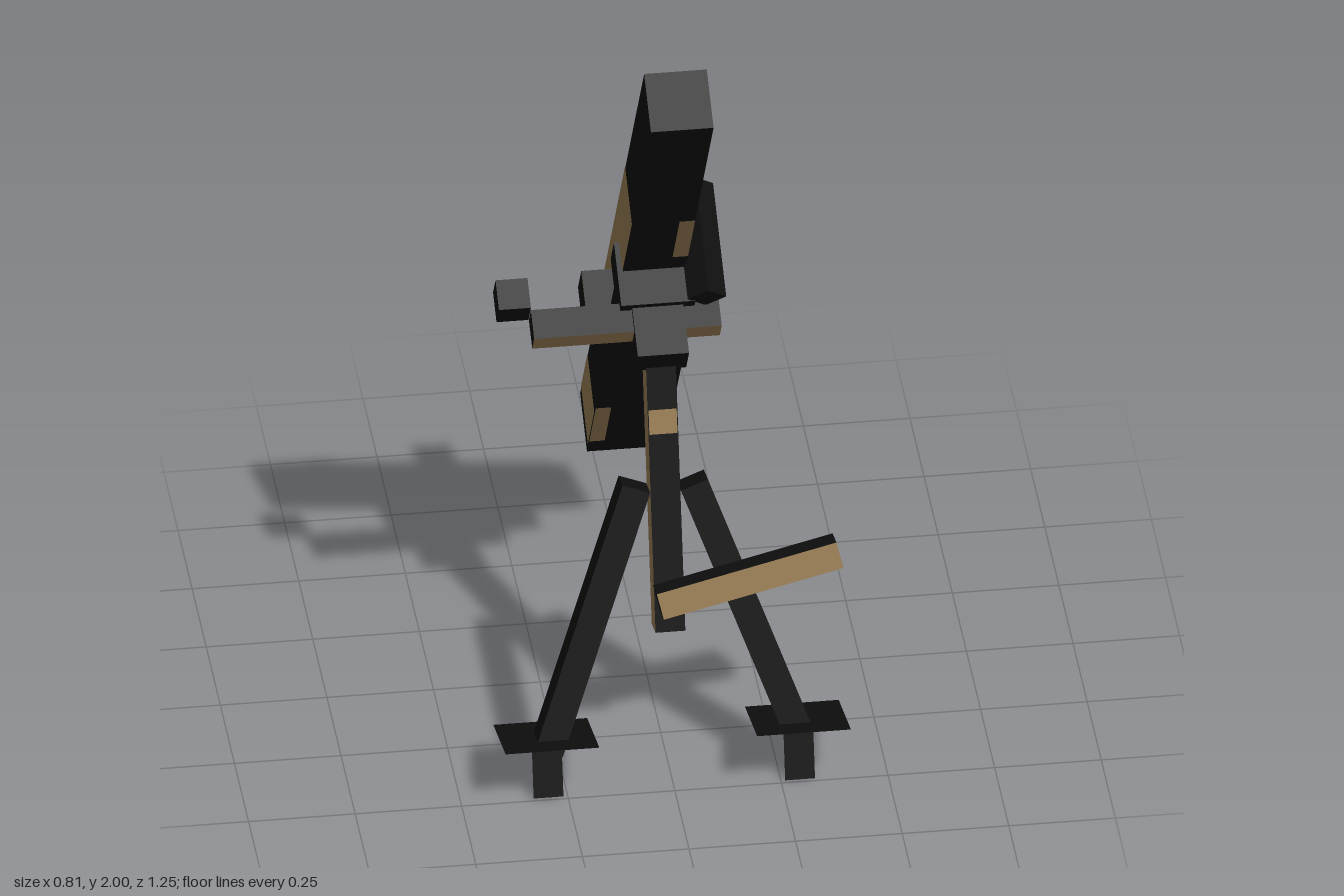
import * as THREE from 'three';

export function createModel() {
  const model = new THREE.Group();
  model.name = 'mortar';

  const black = new THREE.MeshStandardMaterial({ color: 0x0f0f0f });
  black.name = 'black';
  const tan = new THREE.MeshStandardMaterial({ color: 0x957b51 });
  tan.name = 'tan';
  // Thin sheet metal is seen from both sides
  const sheet = new THREE.MeshStandardMaterial({ color: 0x0f0f0f, side: THREE.DoubleSide });
  sheet.name = 'black sheet';

  // Box from size and centre; tanFaces lists painted sides (+x -x +y -y +z -z = 0..5)
  function box(parent, name, size, pos, tanFaces = []) {
    const mats = tanFaces.length
      ? [0, 1, 2, 3, 4, 5].map((i) => (tanFaces.includes(i) ? tan : black))
      : black;
    const mesh = new THREE.Mesh(new THREE.BoxGeometry(...size), mats);
    mesh.name = name;
    mesh.position.set(...pos);
    parent.add(mesh);
    return mesh;
  }

  // ---- Barrel assembly: origin at the muzzle, barrel running down local -y ----
  const barrel = new THREE.Group();
  barrel.name = 'barrelAssembly';
  barrel.position.set(0, 1.96, 0.57);
  barrel.rotation.x = THREE.MathUtils.degToRad(35);
  model.add(barrel);

  const W = 0.147;
  const H = W / 2;
  const L = 1.975;
  box(barrel, 'tube', [W, L, W], [0, -L / 2, 0]);

  // Painted camouflage patches; s runs down from the muzzle, w across the face
  const turns = { left: Math.PI / 2, right: -Math.PI / 2, under: 0, top: Math.PI };
  function patch(face, s0, s1, w0 = -H, w1 = H) {
    const holder = new THREE.Group();
    holder.name = face + 'Camouflage';
    holder.rotation.y = turns[face];
    const mesh = new THREE.Mesh(new THREE.PlaneGeometry(w1 - w0, s1 - s0), tan);
    mesh.name = 'camouflagePatch';
    mesh.position.set((w0 + w1) / 2, -(s0 + s1) / 2, H + 0.0015);
    holder.add(mesh);
    barrel.add(holder);
  }
  for (const side of ['left', 'right']) {
    patch(side, 0.568, 1.294);
    patch(side, 1.73, 1.93);
  }
  patch('top', 0.3, 0.318);
  patch('top', 0.58, 0.597);
  patch('top', 0.955, 0.975, -H, -0.02);
  patch('top', 1.066, 1.294);
  patch('top', 1.433, 1.713, -H, -0.05);
  patch('top', 1.713, 1.925);
  patch('under', 0.57, 0.79, 0.037, H);
  patch('under', 1.705, 1.91, -H, -0.037);

  // Recoil housing, clamp and bipod joint beneath the tube
  box(barrel, 'recoilHousing', [0.172, 0.56, 0.085], [0, -1.184, 0.112]);
  box(barrel, 'clamp', [0.174, 0.1, 0.16], [0, -0.91, 0.08]);
  box(barrel, 'bipodJoint', [0.12, 0.088, 0.18], [0, -0.922, 0.192]);

  // Sight: a square bar standing on edge
  const sight = box(barrel, 'sight', [0.064, 0.064, 0.285], [0.113, -0.848, 0.017]);
  sight.rotation.z = Math.PI / 4;

  // Traverse bar with its knob, and a small gear box
  box(barrel, 'traverseBar', [0.44, 0.06, 0.073], [-0.075, -0.92, 0.178], [4, 5]);
  box(barrel, 'traverseKnob', [0.075, 0.075, 0.075], [-0.333, -0.916, 0.103]);
  box(barrel, 'gearBox', [0.08, 0.1, 0.1], [-0.107, -1.109, 0.036]);

  // ---- Bipod: origin on the ground line, leaning back towards the barrel ----
  const bipod = new THREE.Group();
  bipod.name = 'bipod';
  bipod.position.set(0, 0, 0.49);
  bipod.rotation.x = THREE.MathUtils.degToRad(-15);
  model.add(bipod);

  box(bipod, 'elevationColumn', [0.07, 0.71, 0.07], [0, 0.75, 0], [1, 5]);
  const mark = new THREE.Mesh(new THREE.PlaneGeometry(0.066, 0.06), tan);
  mark.name = 'columnPatch';
  mark.position.set(0, 0.91, 0.0365);
  bipod.add(mark);

  for (const side of [1, -1]) {
    // Leg in two halves, so that the upper half can be painted
    const leg = new THREE.Group();
    leg.name = side > 0 ? 'leftLeg' : 'rightLeg';
    leg.position.set(side * 0.068, 0.75, 0);
    leg.rotation.z = side * 0.345;
    bipod.add(leg);
    box(leg, 'upperLeg', [0.068, 0.33, 0.075], [0, -0.165, 0], side > 0 ? [0, 5] : []);
    box(leg, 'lowerLeg', [0.068, 0.34, 0.075], [0, -0.5, 0]);

    // Flat foot plate and ground spike
    const plate = new THREE.Mesh(new THREE.PlaneGeometry(0.22, 0.225), sheet);
    plate.name = 'footPlate';
    plate.rotation.x = -Math.PI / 2;
    plate.position.set(side * 0.295, 0.15, 0);
    bipod.add(plate);
    const spike = new THREE.Mesh(new THREE.PlaneGeometry(0.07, 0.15), sheet);
    spike.name = 'footSpike';
    spike.position.set(side * 0.295, 0.075, 0);
    bipod.add(spike);
  }

  // Elevation crank across the front of the bipod
  const crank = box(bipod, 'elevationCrank', [0.435, 0.065, 0.07], [0.182, 0.529, 0.074], [4, 5]);
  crank.rotation.z = 0.22;

  return model;
}
